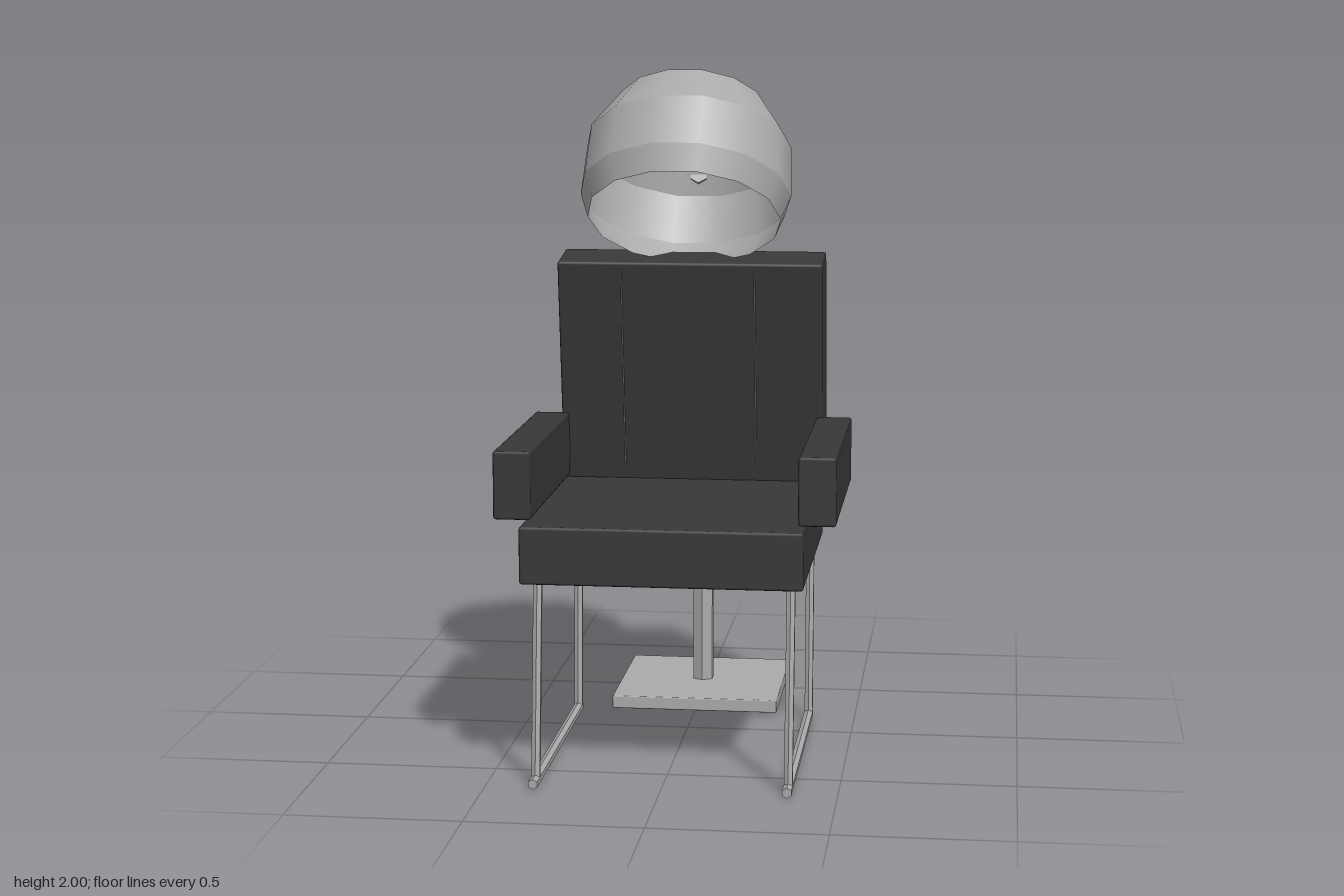
import * as THREE from 'three';
import { RoundedBoxGeometry } from 'three/addons/geometries/RoundedBoxGeometry.js';

const named = (name, color, extra = {}) => Object.assign(new THREE.MeshStandardMaterial({ color, ...extra }), { name });

export function createModel() {
  const model = new THREE.Group();
  model.name = 'salonDryerChair';
  const upholstery = named('dark upholstery', 0x383838);
  const metal = named('brushed metal', 0xaaaaaa, { side: THREE.DoubleSide });
  const rubber = named('black joint', 0x262626);
  const thread = named('seam grey', 0x606060);

  const add = (name, geometry, material, x = 0, y = 0, z = 0, parent = model) => {
    const mesh = new THREE.Mesh(geometry, material);
    mesh.name = name;
    mesh.position.set(x, y, z);
    parent.add(mesh);
    return mesh;
  };
  const box = (w, h, d, r = 0.008) => new RoundedBoxGeometry(w, h, d, 1, r);
  // Faceted round bar between two points
  const bar = (name, material, radius, a, b) => {
    const from = new THREE.Vector3(...a), to = new THREE.Vector3(...b);
    const dir = to.clone().sub(from);
    const geometry = new THREE.CylinderGeometry(radius, radius, dir.length(), 6).toNonIndexed();
    geometry.computeVertexNormals();
    const mesh = add(name, geometry, material);
    mesh.position.copy(from).lerp(to, 0.5);
    mesh.quaternion.setFromUnitVectors(new THREE.Vector3(0, 1, 0), dir.normalize());
    return mesh;
  };

  // Seat cushion
  add('seat', box(0.8, 0.165, 0.796), upholstery, 0, 0.667, 0.263);

  // Backrest, leaning forward at the top, with two seams in front of it
  const back = new THREE.Group();
  back.name = 'back';
  back.position.set(0, 1.083, -0.17);
  back.rotation.x = 0.149;
  model.add(back);
  add('backrest', box(0.8, 0.71, 0.167), upholstery, 0, 0, 0, back);

  for (const side of [-1, 1]) {
    add('backSeam', new THREE.BoxGeometry(0.005, 0.61, 0.004), thread, side * 0.2, 0.042, 0.13, back);
    add('armrest', box(0.107, 0.196, 0.716), upholstery, side * 0.432, 0.852, 0.23);
    // Sled legs
    const x = side * 0.36;
    bar('frontLeg', metal, 0.014, [x, 0.585, 0.575], [x, 0.02, 0.635]);
    bar('rearLeg', metal, 0.014, [x, 0.585, -0.17], [x, 0.02, -0.145]);
    bar('floorRunner', metal, 0.015, [x, 0.015, 0.69], [x, 0.015, -0.157]);
  }

  // Dryer stand
  add('standBase', box(0.515, 0.04, 0.52, 0.004), metal, 0, 0.026, -0.43);
  bar('standPost', metal, 0.035, [0, 0.045, -0.43], [0, 1.587, -0.43]);
  bar('standArm', metal, 0.028, [0, 1.593, -0.44], [0, 1.67, -0.29]);
  const knob = new THREE.CylinderGeometry(0.042, 0.042, 0.042, 6).toNonIndexed();
  knob.computeVertexNormals();
  knob.rotateY(Math.PI / 2).rotateX(Math.PI / 2);
  add('swivelJoint', knob, rubber, 0, 1.638, -0.318);

  // Open dryer hood: bands between circles of latitude, from the crown to the rim
  const hood = new THREE.Group();
  hood.name = 'dryerHood';
  hood.position.set(0, 1.69, 0.014);
  hood.rotation.x = -THREE.MathUtils.degToRad(33.5);
  model.add(hood);
  const R = 0.32, sides = 14;
  const rings = [0, 15, 44, 73, 102, 117].map(THREE.MathUtils.degToRad);
  for (let i = 0; i < rings.length - 1; i++) {
    const [a, b] = [rings[i], rings[i + 1]];
    const yTop = R * Math.cos(a), yBottom = R * Math.cos(b);
    const band = new THREE.CylinderGeometry(R * Math.sin(a), R * Math.sin(b), yTop - yBottom,
      sides, 1, true, Math.PI / sides);
    add('hoodBand', band, metal, 0, (yTop + yBottom) / 2, 0, hood);
  }
  return model;
}
